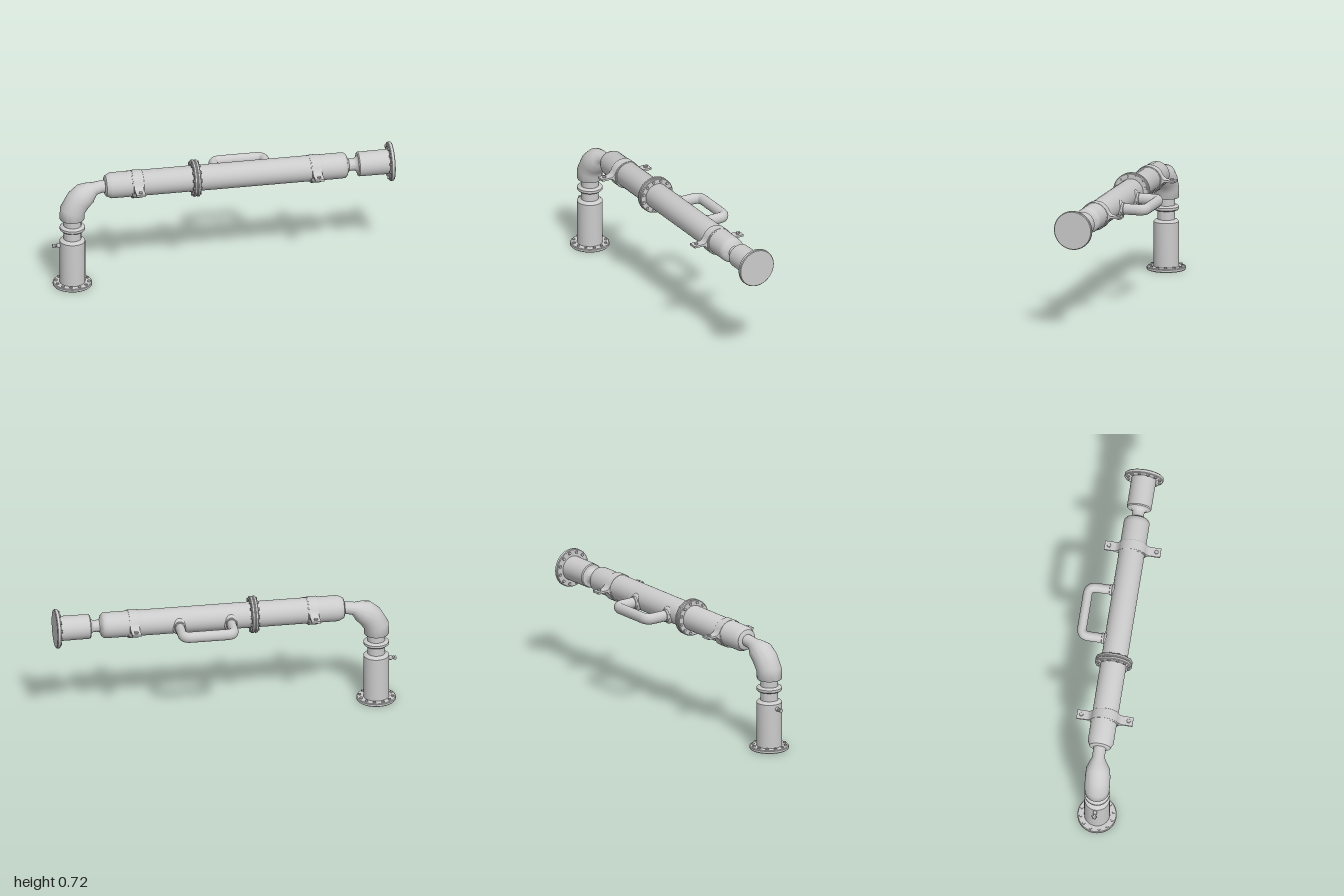
import * as THREE from 'three';
import { toCreasedNormals } from 'three/addons/utils/BufferGeometryUtils.js';

const AXIS_Y = 0.606, AXIS_Z = 0.035;   // horizontal run
const POST_X = -0.878, POST_Z = 0.049;  // vertical post

export function createModel() {
  const model = new THREE.Group();
  const mat = new THREE.MeshStandardMaterial({ color: 0xcccccc });

  const add = (name, geo, parent = model) => {
    const mesh = new THREE.Mesh(geo, mat);
    mesh.name = name;
    parent.add(mesh);
    return mesh;
  };
  // Profile rows are [radius, distance along axis]
  const turned = (rows, segments = 40) => toCreasedNormals(
    new THREE.LatheGeometry(rows.map(([r, d]) => new THREE.Vector2(r, d)), segments), 0.65);
  const disc = (r, a, b, bevel = 0.004) => [
    [0, a], [r - bevel, a], [r, a + bevel], [r, b - bevel], [r - bevel, b], [0, b]];
  // Hexagonal bolt heads on a circle around the local y axis
  const boltRing = (parent, count, radius, y, height) => {
    for (let i = 0; i < count; i++) {
      const a = (i + 0.5) / count * Math.PI * 2;
      const geo = new THREE.CylinderGeometry(0.009, 0.009, height, 6).toNonIndexed();
      geo.computeVertexNormals();
      add('bolt', geo, parent).position.set(Math.cos(a) * radius, y, Math.sin(a) * radius);
    }
  };

  // Vertical post: local y is up
  const post = new THREE.Group();
  post.name = 'post';
  post.position.set(POST_X, 0, POST_Z);
  model.add(post);
  add('baseFlange', turned(disc(0.113, 0, 0.02)), post);
  boltRing(post, 12, 0.095, 0.022, 0.012);
  add('postPipe', turned([
    [0, 0.01], [0.074, 0.01], [0.074, 0.282], [0.064, 0.292], [0.051, 0.296],
    [0.051, 0.347], [0.067, 0.35], [0.073, 0.356], [0.073, 0.37], [0.067, 0.376],
    [0.051, 0.379], [0.051, 0.43], [0, 0.43]]), post);

  // Small drain valve on the outer side of the post
  const valve = add('drainValve', turned([
    [0, 0], [0.012, 0], [0.012, 0.02], [0.006, 0.021], [0.006, 0.034],
    [0.011, 0.035], [0.011, 0.044], [0, 0.044]], 12), post);
  valve.rotation.z = Math.PI / 2;
  valve.position.set(-0.072, 0.255, 0);
  add('valveLever', new THREE.BoxGeometry(0.008, 0.01, 0.032), post).position.set(-0.103, 0.255, 0);

  // Reducing elbow: rows are [x, y, z, radius, heading in degrees]
  const rings = [
    [-0.88, 0.42, 0.049, 0.05, 90], [-0.88, 0.421, 0.049, 0.07, 90],
    [-0.88, 0.427, 0.049, 0.073, 90], [-0.878, 0.475, 0.049, 0.073, 76],
    [-0.842, 0.535, 0.047, 0.073, 55], [-0.802, 0.572, 0.044, 0.069, 42],
    [-0.77, 0.587, 0.04, 0.052, 28], [-0.745, 0.596, 0.037, 0.038, 16],
    [-0.71, 0.603, 0.035, 0.036, 5], [-0.67, 0.606, 0.035, 0.036, 0]];
  const sides = 36, pos = [], index = [];
  rings.forEach(([x, y, z, r, deg], i) => {
    const h = THREE.MathUtils.degToRad(deg);
    for (let j = 0; j < sides; j++) {
      const a = j / sides * Math.PI * 2, c = r * Math.cos(a);
      pos.push(x - Math.sin(h) * c, y + Math.cos(h) * c, z + r * Math.sin(a));
      if (i === rings.length - 1) continue;
      const p = i * sides + j, q = i * sides + (j + 1) % sides;
      index.push(p, q, p + sides, q, q + sides, p + sides);
    }
  });
  const elbow = new THREE.BufferGeometry();
  elbow.setAttribute('position', new THREE.Float32BufferAttribute(pos, 3));
  elbow.setIndex(index);
  add('elbow', toCreasedNormals(elbow, 0.65));

  // Horizontal run: local y points along world +x
  const run = new THREE.Group();
  run.name = 'horizontalRun';
  run.position.set(0, AXIS_Y, AXIS_Z);
  run.rotation.z = -Math.PI / 2;
  model.add(run);
  add('mainPipe', turned([
    [0, -0.688], [0.05, -0.688], [0.061, -0.682], [0.066, -0.67], [0.075, -0.652],
    [0.075, 0.695], [0.073, 0.715], [0.062, 0.728], [0.05, 0.732], [0.037, 0.74],
    [0.034, 0.755], [0.035, 0.775], [0.045, 0.787], [0.05, 0.79],
    [0.066, 0.792], [0.071, 0.798], [0.072, 0.975], [0, 0.975]]), run);
  add('endFlange', turned(disc(0.113, 0.974, 0.997)), run);
  boltRing(run, 12, 0.095, 0.972, 0.012);
  add('middleFlangeLeft', turned(disc(0.107, -0.177, -0.159)), run);
  add('middleFlangeRight', turned(disc(0.107, -0.157, -0.139)), run);
  add('gasket', turned(disc(0.103, -0.16, -0.156, 0.001)), run);
  boltRing(run, 12, 0.092, -0.158, 0.052);

  // Pipe clamps: a band flowing into two flat ears
  const R = 0.082, t = 0.006, ear = 0.163, a0 = 0.5;
  const c = R * Math.cos(a0), s = R * Math.sin(a0);
  const profile = new THREE.Shape();
  profile.moveTo(ear, -t);
  profile.lineTo(ear, t);
  profile.lineTo(0.105, t);
  profile.quadraticCurveTo(0.088, t, c, s);
  profile.absarc(0, 0, R, a0, Math.PI - a0, false);
  profile.quadraticCurveTo(-0.088, t, -0.105, t);
  profile.lineTo(-ear, t);
  profile.lineTo(-ear, -t);
  profile.lineTo(-0.105, -t);
  profile.quadraticCurveTo(-0.088, -t, -c, -s);
  profile.absarc(0, 0, R, Math.PI + a0, Math.PI * 2 - a0, false);
  profile.quadraticCurveTo(0.088, -t, 0.105, -t);
  for (const x of [-0.502, 0.543]) {
    const clamp = new THREE.Group();
    clamp.name = 'pipeClamp';
    clamp.position.set(x, AXIS_Y - 0.003, AXIS_Z + 0.002);
    model.add(clamp);
    const geo = new THREE.ExtrudeGeometry(profile, { depth: 0.054, bevelEnabled: false, curveSegments: 24 });
    geo.translate(0, 0, -0.027).rotateY(Math.PI / 2);
    add('clampBand', toCreasedNormals(geo, 0.6), clamp);
    const lip = add('clampLip', turned([[0.07, -0.033], [0.078, -0.033], [0.08, -0.03],
      [0.08, 0.03], [0.078, 0.033], [0.07, 0.033]]), clamp);
    lip.rotation.z = -Math.PI / 2;
    for (const side of [-1, 1]) {
      add('clampBolt', turned(disc(0.012, -0.014, 0.014, 0.001), 6), clamp)
        .position.set(0, 0, side * 0.138);
    }
  }

  // Bypass handle on the back: tube with rounded corners and socket collars
  const bypass = new THREE.Group();
  bypass.name = 'bypassPipe';
  bypass.position.y = 0.595;
  bypass.scale.y = 1.2;
  model.add(bypass);
  const x0 = -0.018, x1 = 0.282, zIn = 0, zOut = -0.178, b = 0.045;
  const v = (x, z) => new THREE.Vector3(x, 0, z);
  const path = new THREE.CurvePath();
  path.add(new THREE.LineCurve3(v(x0, zIn), v(x0, zOut + b)));
  path.add(new THREE.QuadraticBezierCurve3(v(x0, zOut + b), v(x0, zOut), v(x0 + b, zOut)));
  path.add(new THREE.LineCurve3(v(x0 + b, zOut), v(x1 - b, zOut)));
  path.add(new THREE.QuadraticBezierCurve3(v(x1 - b, zOut), v(x1, zOut), v(x1, zOut + b)));
  path.add(new THREE.LineCurve3(v(x1, zOut + b), v(x1, zIn)));
  add('bypassTube', new THREE.TubeGeometry(path, 80, 0.027, 20, false), bypass);
  for (const x of [x0, x1]) {
    const collar = add('bypassCollar', turned([
      [0.043, 0], [0.043, 0.034], [0.039, 0.042], [0.031, 0.048],
      [0.031, 0.06], [0.026, 0.062]], 28), bypass);
    collar.rotation.x = -Math.PI / 2;
    collar.position.set(x, 0, 0.005);
  }
  return model;
}
